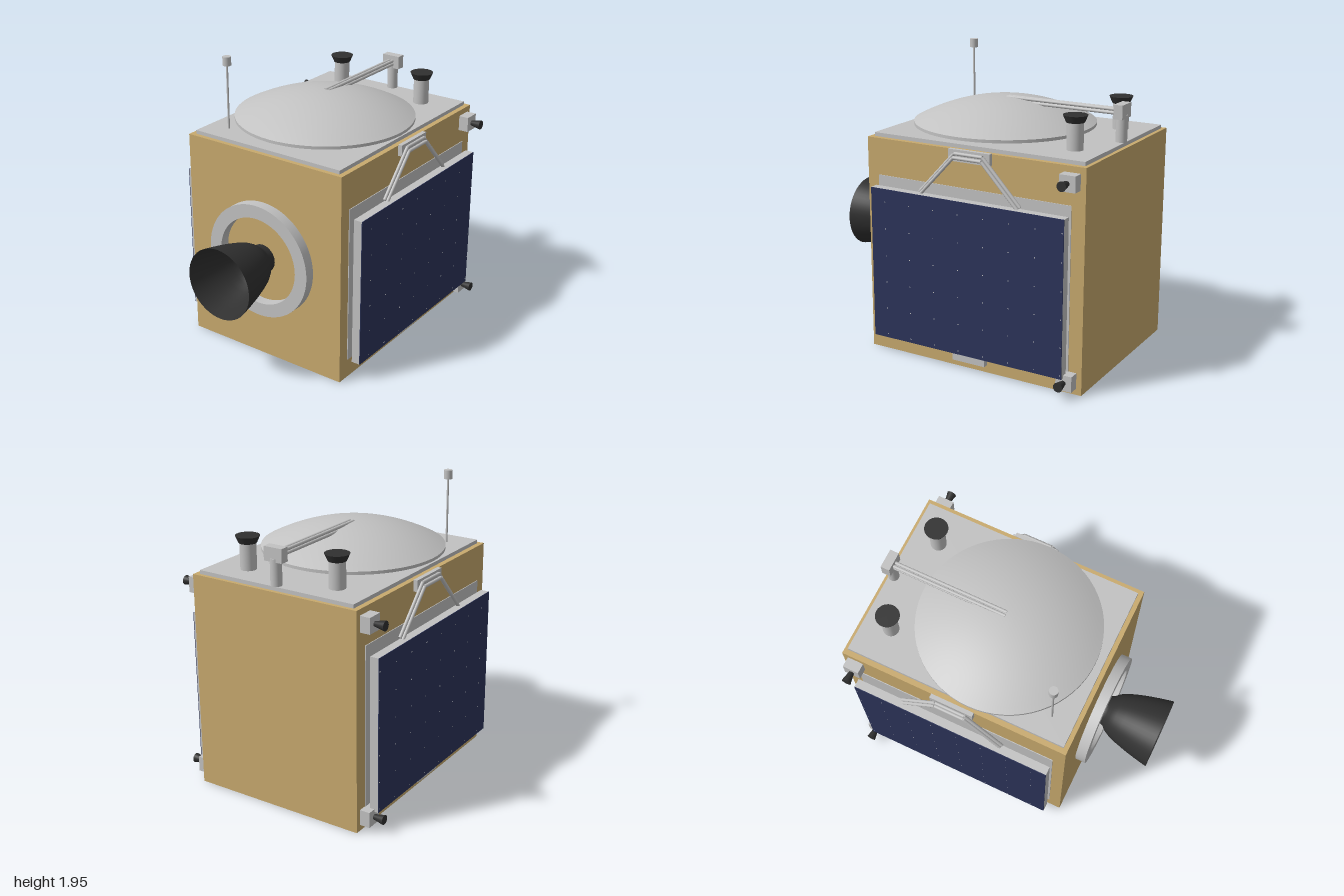
import * as THREE from 'three';
import { toCreasedNormals } from 'three/addons/utils/BufferGeometryUtils.js';

const material = (name, color, side = THREE.FrontSide) => {
  const m = new THREE.MeshStandardMaterial({ color, side });
  m.name = name;
  return m;
};

export function createModel() {
  const gold = material('gold foil', 0xc8aa6e);
  const grey = material('light grey metal', 0xc2c2c2);
  const dark = material('dark nozzle', 0x303030, THREE.DoubleSide);
  const navy = material('navy solar cells', 0x2c345a);

  const model = new THREE.Group();
  model.name = 'spacecraft';

  const add = (parent, name, geometry, mat, x = 0, y = 0, z = 0) => {
    const mesh = new THREE.Mesh(geometry, mat);
    mesh.name = name;
    mesh.position.set(x, y, z);
    parent.add(mesh);
    return mesh;
  };
  // box given by its lower and upper limits on each axis
  const box = (parent, name, mat, x0, x1, y0, y1, z0, z1) =>
    add(parent, name, new THREE.BoxGeometry(x1 - x0, y1 - y0, z1 - z0), mat,
      (x0 + x1) / 2, (y0 + y1) / 2, (z0 + z1) / 2);
  // upright cylinder between two heights
  const post = (parent, name, mat, x, z, y0, y1, r0, r1 = r0) =>
    add(parent, name, new THREE.CylinderGeometry(r1, r0, y1 - y0, 32), mat, x, (y0 + y1) / 2, z);
  // round rod between two points
  const rod = (parent, name, a, b, r) => {
    const from = new THREE.Vector3(...a), to = new THREE.Vector3(...b);
    const dir = to.clone().sub(from);
    const mesh = add(parent, name, new THREE.CylinderGeometry(r, r, dir.length(), 12), grey);
    mesh.position.copy(from).add(to).multiplyScalar(0.5);
    mesh.quaternion.setFromUnitVectors(new THREE.Vector3(0, 1, 0), dir.normalize());
    return mesh;
  };

  // Main body and deck
  box(model, 'body', gold, -0.6, 0.6, 0, 1.435, -1, 0.55);
  box(model, 'topDeck', grey, -0.565, 0.565, 1.435, 1.46, -0.975, 0.52);

  // Dish: thin domed shell
  const profile = [];
  const steps = 14, radius = 0.595;
  for (let i = 0; i <= steps; i++) {
    const t = i / steps;
    profile.push(new THREE.Vector2(radius * t, 1.645 - 0.155 * t * t));
  }
  for (let i = steps; i >= 0; i--) {
    const t = i / steps;
    profile.push(new THREE.Vector2(radius * t, 1.665 - 0.155 * t * t));
  }
  add(model, 'dish', toCreasedNormals(new THREE.LatheGeometry(profile, 64), 0.6), grey, 0, 0, -0.12);

  // Feed arm and its mast
  const arm = new THREE.Group();
  arm.name = 'feedArm';
  model.add(arm);
  post(arm, 'mast', grey, 0, -0.945, 1.46, 1.63, 0.036);
  box(arm, 'mastHead', grey, -0.065, 0.065, 1.61, 1.7, -0.975, -0.915);
  for (const x of [-0.013, 0.013]) {
    rod(arm, 'upperArmRod', [x, 1.661, -0.14], [x, 1.661, -0.93], 0.011);
    rod(arm, 'lowerArmRod', [x, 1.638, -0.3], [x, 1.638, -0.93], 0.011);
  }

  // Deck sensors
  for (const x of [-0.33, 0.33]) {
    post(model, 'sensorStem', grey, x, -0.79, 1.46, 1.635, 0.052);
    post(model, 'sensorCap', dark, x, -0.79, 1.63, 1.675, 0.057, 0.077);
  }

  // Whip antenna
  post(model, 'antennaRod', grey, -0.415, 0.37, 1.46, 1.89, 0.007);
  post(model, 'antennaTip', grey, -0.415, 0.37, 1.887, 1.945, 0.028);

  // Engine ring
  const ring = new THREE.Shape().absarc(0, 0, 0.39, 0, Math.PI * 2);
  ring.holes.push(new THREE.Path().absarc(0, 0, 0.3, 0, Math.PI * 2, true));
  const ringGeometry = new THREE.ExtrudeGeometry(ring, { depth: 0.07, bevelEnabled: false, curveSegments: 48 });
  add(model, 'engineRing', toCreasedNormals(ringGeometry, 0.5), grey, 0, 0.72, 0.55);

  // Engine bell, open at both ends
  const bell = [[0.095, 0.56], [0.1, 0.6], [0.112, 0.625], [0.136, 0.65], [0.158, 0.69], [0.18, 0.75],
    [0.203, 0.83], [0.222, 0.91], [0.24, 1]].map(([r, z]) => new THREE.Vector2(r, z));
  const bellGeometry = new THREE.LatheGeometry(bell, 48).rotateX(Math.PI / 2);
  add(model, 'engineBell', bellGeometry, dark, 0, 0.72, 0);

  // Side equipment, the same on both sides
  for (const side of [-1, 1]) {
    const group = new THREE.Group();
    group.name = side > 0 ? 'leftSide' : 'rightSide';
    model.add(group);
    const sideBox = (name, mat, x0, x1, ...limits) =>
      side > 0 ? box(group, name, mat, x0, x1, ...limits) : box(group, name, mat, -x1, -x0, ...limits);

    // Solar panel
    sideBox('backingPlate', grey, 0.598, 0.605, 0.13, 1.195, -0.91, 0.468);
    sideBox('panelFrame', grey, 0.635, 0.692, 0.125, 1.135, -0.91, 0.465);
    sideBox('solarCells', navy, 0.692, 0.696, 0.125, 1.135, -0.91, 0.465);
    for (let i = 0; i < 8; i++) {
      for (let j = 0; j < 6; j++) {
        const z = 0.36 - 0.18 * i, y = 0.15 + 0.18 * j;
        sideBox('cellContact', grey, 0.696, 0.697, y - 0.003, y + 0.003, z - 0.003, z + 0.003);
      }
    }
    for (const y of [0.3, 0.95]) {
      for (const z of [-0.6, 0.15]) sideBox('panelMount', grey, 0.6, 0.64, y - 0.03, y + 0.03, z - 0.03, z + 0.03);
    }

    // Hinge bracket and bent struts
    sideBox('hingeBracket', grey, 0.6, 0.628, 1.365, 1.44, -0.37, -0.075);
    const path = [[1.13, 0.13], [1.405, -0.125], [1.405, -0.325], [1.13, -0.585]];
    for (const [x, lift] of [[0.638, 0.012], [0.652, -0.012]]) {
      for (let i = 0; i < 3; i++) {
        const [a, b] = [path[i], path[i + 1]].map(([y, z]) => [side * x, y + lift, z]);
        rod(group, 'hingeStrut', a, b, 0.011);
      }
    }
    sideBox('lowerHandle', grey, 0.6, 0.638, 0.05, 0.097, -0.335, -0.1);

    // Attitude thrusters
    for (const y of [0.092, 1.345]) {
      sideBox('thrusterBlock', grey, 0.6, 0.668, y - 0.051, y + 0.051, -0.965, -0.857);
      const nozzle = new THREE.CylinderGeometry(0.031, 0.016, 0.075, 24).rotateZ(-side * Math.PI / 2);
      add(group, 'thrusterNozzle', nozzle, dark, side * 0.7025, y, -0.91);
    }
  }
  return model;
}
